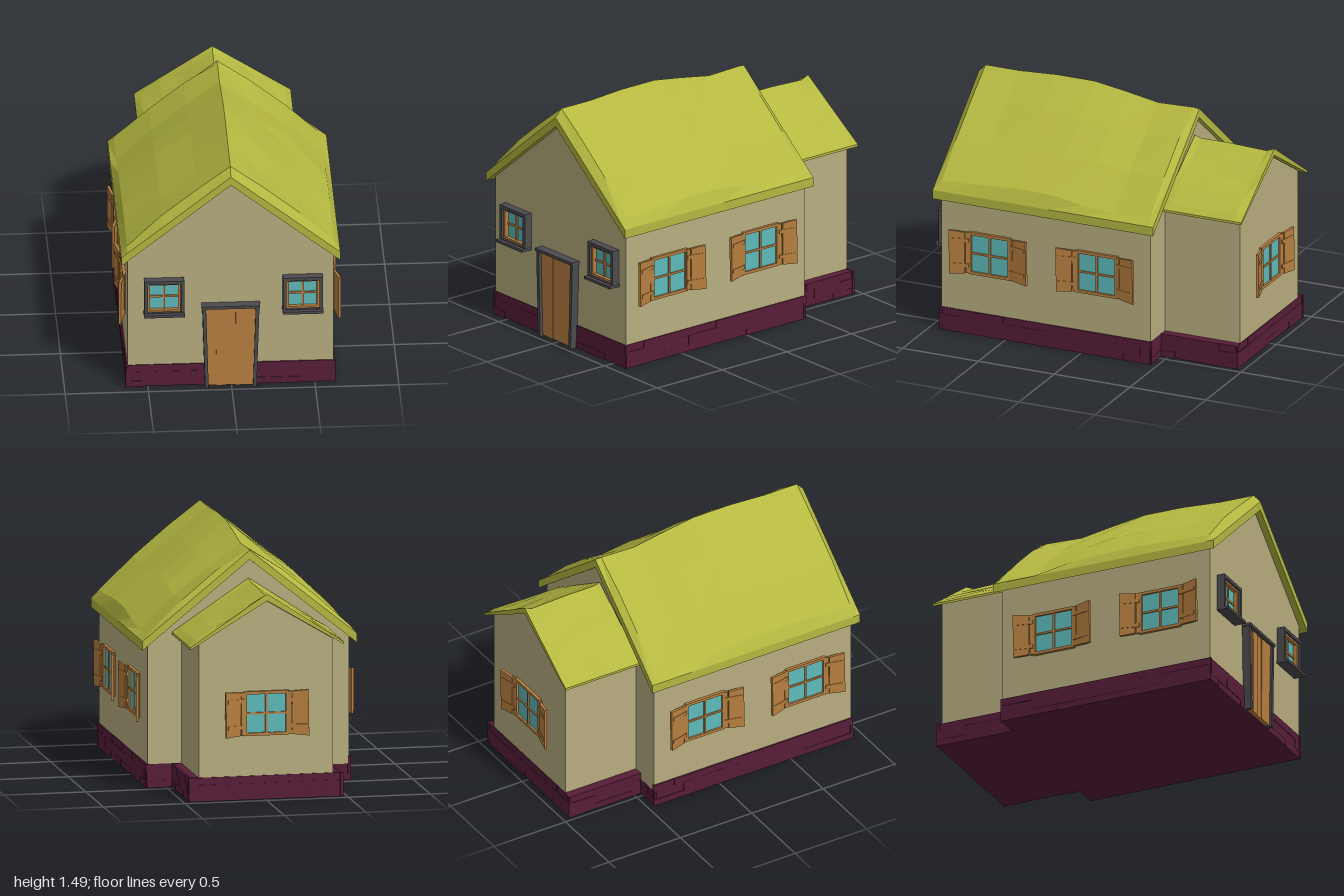
import * as THREE from 'three';

const mat = (color) => new THREE.MeshStandardMaterial({ color, flatShading: true });
const WALL = mat(0xb8ae80), ROOF = mat(0xb4b840), STONE = mat(0x571d38);
const WOOD = mat(0xb87f40), TRIM = mat(0x4b4b4f), GLASS = mat(0x5fbabb);

let seed = 7;
const rand = () => (seed = (seed * 16807) % 2147483647) / 2147483647;

function add(parent, name, geometry, material, x = 0, y = 0, z = 0) {
  const m = new THREE.Mesh(geometry, material);
  m.name = name;
  m.position.set(x, y, z);
  parent.add(m);
  return m;
}

// box given by its min and max corners
function box(parent, name, material, x0, x1, y0, y1, z0, z1) {
  return add(parent, name, new THREE.BoxGeometry(x1 - x0, y1 - y0, z1 - z0), material,
    (x0 + x1) / 2, (y0 + y1) / 2, (z0 + z1) / 2);
}

// outline extruded along z
function prism(parent, name, material, pts, z0, z1) {
  const shape = new THREE.Shape(pts.map(([x, y]) => new THREE.Vector2(x, y)));
  const g = new THREE.ExtrudeGeometry(shape, { depth: z1 - z0, bevelEnabled: false });
  return add(parent, name, g, material, 0, 0, z0);
}

const gable = (parent, name, w, eave, apex, z0, z1) =>
  prism(parent, name, WALL, [[-w, 0.1], [w, 0.1], [w, eave], [0, apex], [-w, eave]], z0, z1);

// uneven thatch: a gabled slab, thin at its rim and swollen inside it
function thatch(parent, name, { xs, zs, eave, apex, rim, thick }) {
  const cols = [...xs.slice(1).reverse().map((x) => -x), ...xs];
  const w = xs[xs.length - 1];
  const under = (x) => apex + (eave - apex) * Math.abs(x) / w;
  const grid = zs.map((z, i) => cols.map((x, j) => {
    const edge = i === 0 || j === 0 || i === zs.length - 1 || j === cols.length - 1;
    const t = edge ? rim(Math.abs(x) / w) : thick(z, Math.abs(x) / w);
    return { t: [x, under(x) + t, z], b: [x, under(x), z] };
  }));
  const pos = [];
  const quad = (a, b, c, d) => pos.push(...a, ...b, ...c, ...a, ...c, ...d);
  const R = zs.length - 1, C = cols.length - 1;
  for (let i = 0; i < R; i++) {
    const p = grid[i], q = grid[i + 1];
    for (let j = 0; j < C; j++) {
      quad(p[j].t, q[j].t, q[j + 1].t, p[j + 1].t);
      quad(p[j].b, p[j + 1].b, q[j + 1].b, q[j].b);
    }
    quad(p[C].b, p[C].t, q[C].t, q[C].b);
    quad(p[0].b, q[0].b, q[0].t, p[0].t);
  }
  for (let j = 0; j < C; j++) {
    const f = grid[R], k = grid[0];
    quad(f[j].b, f[j + 1].b, f[j + 1].t, f[j].t);
    quad(k[j].b, k[j].t, k[j + 1].t, k[j + 1].b);
  }
  const g = new THREE.BufferGeometry();
  g.setAttribute('position', new THREE.Float32BufferAttribute(pos, 3));
  g.computeVertexNormals();
  return add(parent, name, g, ROOF);
}

// rectangular frame of four bars, outer half size w by h
function frame(parent, name, material, w, h, bar, z0, z1) {
  for (const s of [-1, 1]) {
    const x = s * (w - bar / 2), y = s * (h - bar / 2);
    box(parent, name, material, x - bar / 2, x + bar / 2, -h, h, z0, z1);
    box(parent, name, material, -w + bar, w - bar, y - bar / 2, y + bar / 2, z0, z1);
  }
}

// glass with a cross of glazing bars, facing +z
function glazing(parent, w, h, z) {
  box(parent, 'glass', GLASS, -w, w, -h, h, z - 0.01, z);
  box(parent, 'glazingBar', WOOD, -0.006, 0.006, -h, h, z, z + 0.008);
  box(parent, 'glazingBar', WOOD, -w, w, -0.006, 0.006, z, z + 0.008);
}

function frontWindow(parent, x) {
  const g = new THREE.Group();
  g.name = 'frontWindow';
  g.position.set(x, 0.617, 0.925);
  glazing(g, 0.085, 0.088, 0.01);
  frame(g, 'innerFrame', WOOD, 0.1, 0.1, 0.016, 0, 0.035);
  frame(g, 'outerFrame', TRIM, 0.12, 0.117, 0.021, 0, 0.05);
  box(g, 'sill', TRIM, -0.122, 0.122, -0.117, -0.1, 0, 0.075);
  parent.add(g);
}

function shutteredWindow(parent, x, z, turn) {
  const g = new THREE.Group();
  g.name = 'shutteredWindow';
  g.position.set(x, 0.525, z);
  g.rotation.y = turn;
  glazing(g, 0.122, 0.118, 0.006);
  frame(g, 'windowFrame', WOOD, 0.138, 0.135, 0.018, 0, 0.018);
  for (const s of [-1, 1]) {
    // two-plank shutter, splayed away from the wall
    const hinge = new THREE.Group();
    hinge.name = 'shutter';
    hinge.position.set(s * 0.132, 0, 0.006);
    hinge.rotation.y = -s * 0.22;
    const plank = (a, b, ha, hb, z0, z1) => prism(hinge, 'shutterPlank', WOOD,
      s > 0 ? [[a, -ha], [b, -hb], [b - 0.005, hb], [a, ha]]
        : [[-a, -ha], [-a, ha], [-b, hb], [-b + 0.005, -hb]], z0, z1);
    plank(0, 0.028, 0.128, 0.131, -0.002, 0.013);
    plank(0.03, 0.13, 0.131, 0.14, 0, 0.016);
    for (const y of [-0.08, 0.08])
      box(hinge, 'shutterBatten', WOOD, s > 0 ? 0.005 : -0.115, s > 0 ? 0.115 : -0.005,
        y - 0.012, y + 0.012, 0.01, 0.019);
    g.add(hinge);
  }
  parent.add(g);
}

// two courses of slightly uneven stones along one face of the plinth
function stones(parent, length, x, z, turn) {
  const g = new THREE.Group();
  g.name = 'stoneCourses';
  g.position.set(x, 0, z);
  g.rotation.y = turn;
  const n = Math.max(2, Math.round(length / 0.3));
  [[0, 0.04, 0], [0.04, 0.1, 0.5], [0.1, 0.145, 0.2]].forEach(([y0, y1, shift]) => {
    const cuts = [0];
    for (let i = 0; i < n; i++) cuts.push((i + 0.35 + shift * 0.8) / n);
    cuts.push(1);
    for (let i = 0; i < cuts.length - 1; i++)
      box(g, 'stone', STONE, (cuts[i] - 0.5) * length, (cuts[i + 1] - 0.5) * length,
        y0, y1, -0.02, -0.007 * rand());
  });
  parent.add(g);
}

export function createModel() {
  const house = new THREE.Group();
  house.name = 'cottage';
  const body = new THREE.Group();
  body.name = 'body';
  body.position.x = -0.005;
  house.add(body);

  // walls
  gable(body, 'mainWalls', 0.617, 0.876, 1.372, -0.455, 0.925);
  gable(body, 'annexWalls', 0.41, 0.962, 1.208, -0.95, -0.45);

  // plinth
  box(body, 'mainPlinth', STONE, -0.62, 0.62, 0, 0.143, -0.45, 0.927);
  box(body, 'annexPlinth', STONE, -0.465, 0.465, 0, 0.143, -0.95, -0.44);
  stones(body, 1.256, 0, 0.935, 0);
  stones(body, 1.256, 0, -0.46, Math.PI);
  stones(body, 0.946, 0, -0.96, Math.PI);
  for (const s of [-1, 1]) {
    stones(body, 1.395, s * 0.628, 0.2375, s * Math.PI / 2);
    stones(body, 0.5, s * 0.473, -0.71, s * Math.PI / 2);
  }

  // roofs
  const sag = { 0.92: 0.105, 0.7: 0.105, 0.45: 0.12, 0.2: 0.12, 0: 0.09, '-0.22': 0.052, '-0.45': 0.06 };
  thatch(body, 'mainRoof', {
    xs: [0, 0.2, 0.41, 0.62, 0.656],
    zs: [-0.49, -0.45, -0.22, 0, 0.2, 0.45, 0.7, 0.92, 0.965],
    eave: 0.843, apex: 1.373,
    rim: () => 0.056,
    thick: (z, u) => u === 0 ? sag[z]
      : sag[z] * 0.6 + 0.037 + (u < 0.9 ? 0.012 : -0.008) + 0.02 * (rand() - 0.5),
  });
  thatch(body, 'annexRoof', {
    xs: [0, 0.12, 0.22, 0.32, 0.43, 0.47],
    zs: [-0.985, -0.935, -0.7, -0.5, -0.46],
    eave: 0.93, apex: 1.212,
    rim: (u) => 0.043 - 0.028 * u,
    thick: (z, u) => u === 0 ? (z < -0.9 ? 0.022 : 0.031) : 0.026 + 0.012 * (rand() - 0.5),
  });

  // door of four planks, wider at the top
  const door = new THREE.Group();
  door.name = 'door';
  const top = [-0.15, -0.09, -0.03, 0.03, 0.15], low = [-0.136, -0.085, -0.03, 0.028, 0.136];
  for (let i = 0; i < 4; i++)
    prism(door, 'doorPlank', WOOD, [[low[i], 0.008], [low[i + 1], 0.008], [top[i + 1], 0.54], [top[i], 0.54]],
      0.925, 0.955 + 0.005 * (i % 2));
  for (const s of [-1, 1]) {
    const pts = [[0.133, 0], [0.154, 0], [0.171, 0.54], [0.149, 0.54]].map(([x, y]) => [s * x, y]);
    prism(door, 'doorPost', TRIM, s > 0 ? pts : pts.reverse(), 0.925, 0.975);
  }
  box(door, 'lintel', TRIM, -0.175, 0.175, 0.538, 0.556, 0.925, 0.982);
  body.add(door);

  // windows
  frontWindow(house, -0.404);
  frontWindow(house, 0.427);
  for (const s of [-1, 1])
    for (const z of [0.6, -0.105]) shutteredWindow(body, s * 0.617, z, s * Math.PI / 2);
  shutteredWindow(body, 0, -0.95, Math.PI);

  return house;
}
